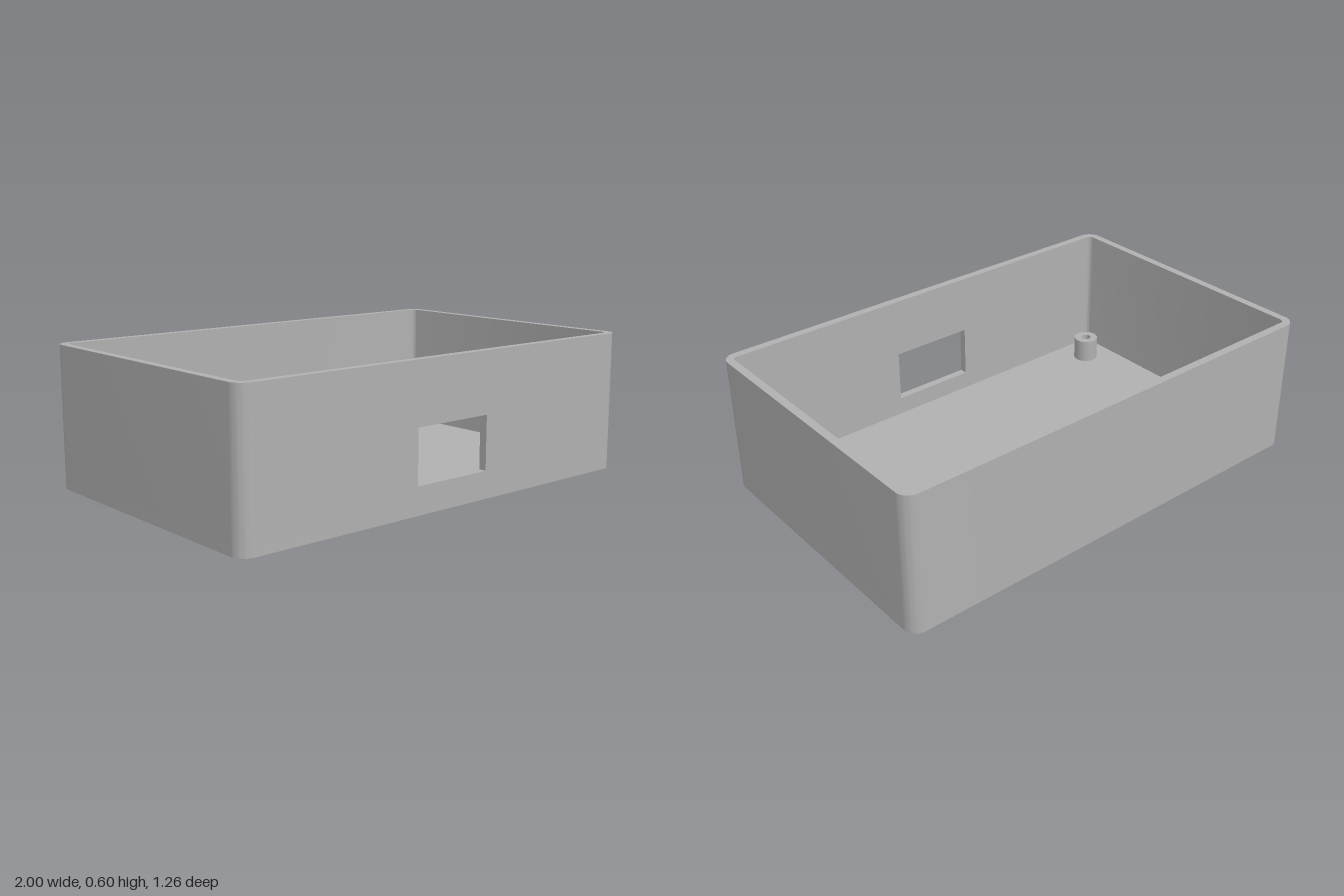
import * as THREE from 'three';
import { toCreasedNormals } from 'three/addons/utils/BufferGeometryUtils.js';

const W = 1, D = 0.63, H = 0.595;         // half width, half depth, height
const WALL = 0.034, FLOOR = 0.036, R = 0.056;
const CX = W - R, CY = D - R;             // corner centres
const Q = Math.PI / 2;

// Corner centres with start angles, counter-clockwise from the front left
const corners = [[CX, -CY, -Q], [CX, CY, 0], [-CX, CY, Q], [-CX, -CY, 2 * Q]];

function roundedOutline() {
  const s = new THREE.Shape();
  corners.forEach(([x, y, a]) => s.absarc(x, y, R, a, a + Q, false));
  s.closePath();
  return s;
}

// Side and back walls with all four corners, open along the front
function wallOutline() {
  const s = roundedOutlineOpen();
  [...corners].reverse().forEach(([x, y, a]) => s.absarc(x, y, R - WALL, a + Q, a, true));
  s.closePath();
  return s;
}

function roundedOutlineOpen() {
  const s = new THREE.Shape();
  corners.forEach(([x, y, a]) => s.absarc(x, y, R, a, a + Q, false));
  return s;
}

function extrude(shape, depth) {
  return new THREE.ExtrudeGeometry(shape, { depth, bevelEnabled: false, curveSegments: 10 });
}

function rectangle(path, x0, y0, x1, y1) {
  path.moveTo(x0, y0).lineTo(x1, y0).lineTo(x1, y1).lineTo(x0, y1).closePath();
  return path;
}

export function createModel() {
  const group = new THREE.Group();
  group.name = 'enclosure';
  const grey = new THREE.MeshStandardMaterial({ color: 0xb0b0b0 });
  grey.name = 'grey plastic';

  const add = (name, geometry, x = 0, y = 0, z = 0) => {
    const mesh = new THREE.Mesh(toCreasedNormals(geometry, 0.6), grey);
    mesh.name = name;
    mesh.position.set(x, y, z);
    group.add(mesh);
  };

  // Floor and walls
  add('floor', extrude(roundedOutline(), FLOOR).rotateX(-Q));
  add('sideAndBackWalls', extrude(wallOutline(), H - FLOOR).rotateX(-Q), 0, FLOOR, 0);

  // Front wall with its rectangular opening
  const front = rectangle(new THREE.Shape(), -CX, FLOOR, CX, H);
  front.holes.push(rectangle(new THREE.Path(), -0.187, 0.115, 0.183, 0.34));
  add('frontWall', extrude(front, WALL), 0, 0, D - WALL);

  // Hollow screw posts near the corners
  const profile = [[0.055, 0], [0.055, 0.105], [0.022, 0.105], [0.022, 0.001], [0, 0.001]]
    .map(([x, y]) => new THREE.Vector2(x, y));
  for (const x of [-0.833, 0.833])
    for (const z of [-0.463, 0.463])
      add('screwPost', new THREE.LatheGeometry(profile, 32), x, FLOOR, z);

  return group;
}
